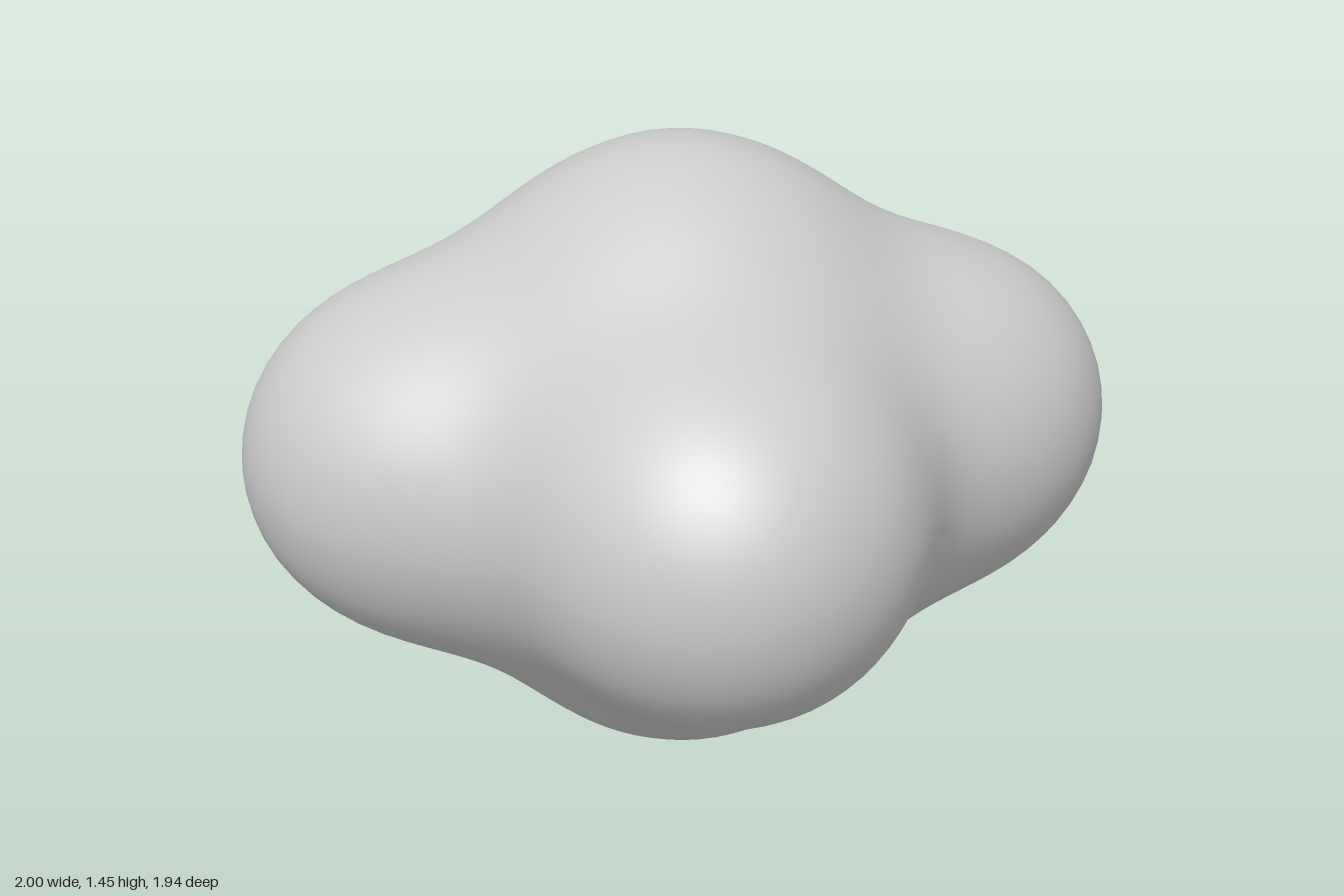
import * as THREE from 'three';
import { mergeVertices } from 'three/addons/utils/BufferGeometryUtils.js';

// Six soft balls that melt together into one smooth body
const CENTER = new THREE.Vector3(0, 0.74, 0);
const BALLS = [
  [0.63, 0.755, 0], [-0.63, 0.755, 0],        // side lobes
  [-0.035, 0.765, 0.6], [-0.035, 0.765, -0.6], // front and back lobes
  [0, 1.06, 0], [0, 0.385, 0],                // top and bottom lobes
].map((p) => new THREE.Vector3(...p));
const STRENGTH = 12.6, FALLOFF = 12, LEVEL = 80;

// Field of all balls, each with a limited reach
function field(p) {
  let sum = 0;
  for (const b of BALLS) {
    sum += Math.max(0, STRENGTH / (p.distanceToSquared(b) + 1e-6) - FALLOFF);
  }
  return sum;
}

// Distance from the centre to the outer surface along a direction
function surfaceRadius(dir) {
  const p = new THREE.Vector3();
  const inside = (r) => field(p.copy(CENTER).addScaledVector(dir, r)) >= LEVEL;
  let r = 1.3;
  while (r > 0.1 && !inside(r)) r -= 0.02;
  let lo = r, hi = r + 0.02;
  for (let i = 0; i < 14; i++) {
    const mid = (lo + hi) / 2;
    if (inside(mid)) lo = mid; else hi = mid;
  }
  return lo;
}

export function createModel() {
  const group = new THREE.Group();
  group.name = 'blobModel';

  // Sphere pushed out to the blended surface
  let geo = new THREE.IcosahedronGeometry(1, 22);
  geo.deleteAttribute('uv');
  geo.deleteAttribute('normal');
  geo = mergeVertices(geo, 1e-4);
  const pos = geo.attributes.position;
  const dir = new THREE.Vector3();
  for (let i = 0; i < pos.count; i++) {
    dir.fromBufferAttribute(pos, i).normalize();
    dir.multiplyScalar(surfaceRadius(dir)).add(CENTER);
    pos.setXYZ(i, dir.x, dir.y, dir.z);
  }
  // Stand the body on the ground
  geo.computeBoundingBox();
  geo.translate(0, -geo.boundingBox.min.y, 0);
  geo.computeVertexNormals();

  const body = new THREE.Mesh(geo, new THREE.MeshStandardMaterial({ color: 0xcccccc }));
  body.name = 'blendedBody';
  group.add(body);
  return group;
}
